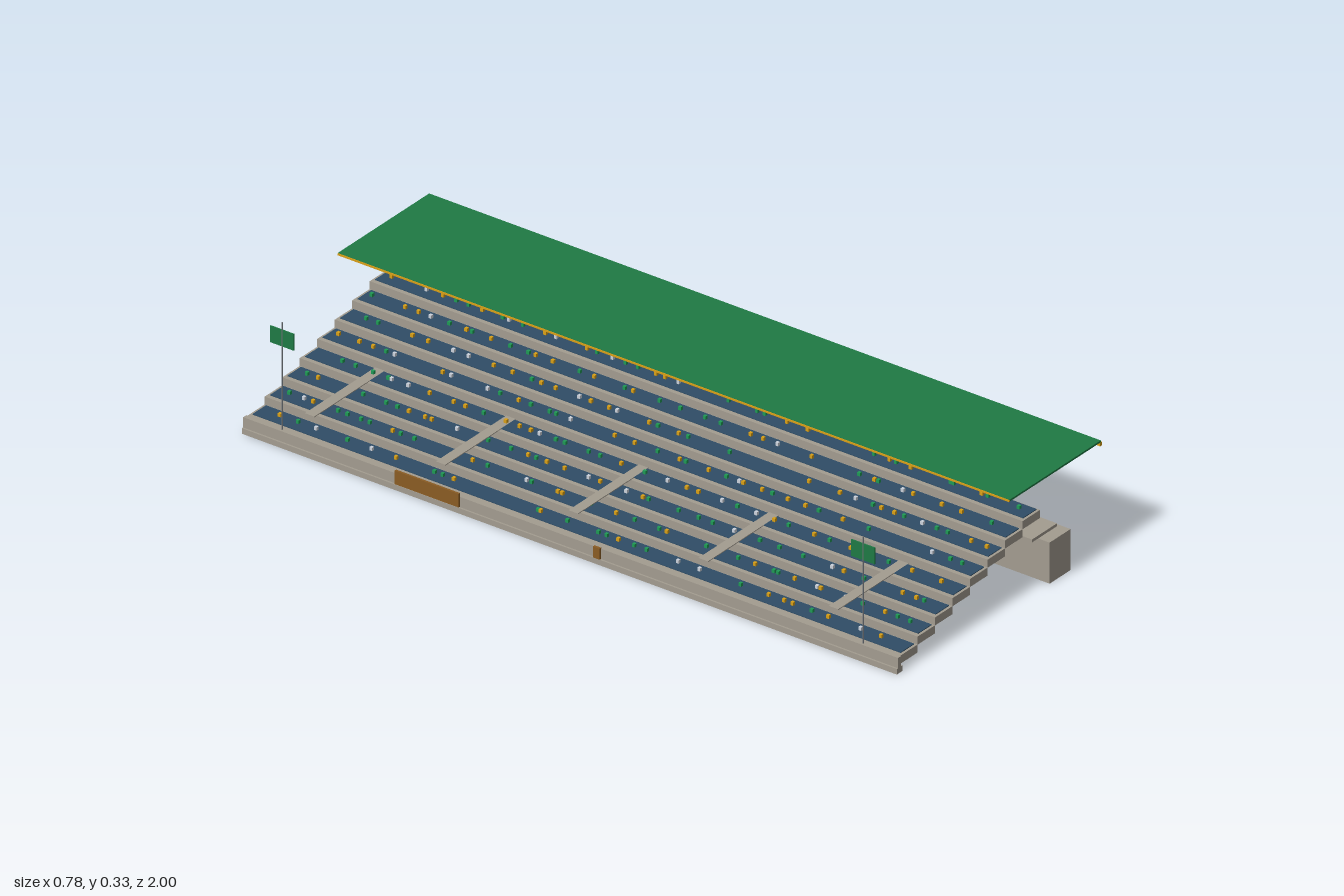
import * as THREE from 'three';
import { mergeGeometries } from 'three/addons/utils/BufferGeometryUtils.js';

const mat = (name, color) => {
  const m = new THREE.MeshStandardMaterial({ color });
  m.name = name;
  return m;
};

// Box geometry given by its limits on each axis
function span(x0, x1, y0, y1, z0, z1) {
  return new THREE.BoxGeometry(x1 - x0, y1 - y0, z1 - z0)
    .translate((x0 + x1) / 2, (y0 + y1) / 2, (z0 + z1) / 2);
}

// Small seeded generator for the crowd
function seeded(seed) {
  return () => (seed = (seed * 16807) % 2147483647) / 2147483647;
}

export function createModel() {
  const group = new THREE.Group();
  group.name = 'grandstand';

  const concrete = mat('concrete', 0xa39c90);
  const green = mat('roof green', 0x1f7a44);
  const yellow = mat('yellow', 0xd9a017);
  const blue = mat('seat blue', 0x2f4d66);
  const steel = mat('steel', 0x70757a);
  const brown = mat('brown board', 0x8a5c24);
  const pale = mat('pale panel', 0xccd2dc);
  const lilac = mat('booth grey', 0x959cac);
  const shirtGreen = mat('shirt green', 0x1f9a55);

  const add = (name, geometry, material) => {
    const mesh = new THREE.Mesh(geometry, material);
    mesh.name = name;
    group.add(mesh);
    return mesh;
  };

  // Stepped terrace with a seat strip on each tier
  const tiers = 8, pitch = 0.0693, rise = 0.0214;
  const tierX = i => -0.374 + i * pitch;
  const tierTop = i => 0.0425 + i * rise;
  for (let i = 0; i < tiers; i++) {
    const x = tierX(i), y = tierTop(i);
    add('tier', span(x, x + pitch, y - 0.022, y, -0.972, 0.972), concrete);
    add('seatStrip', span(x + 0.012, x + pitch - 0.004, y, y + 0.002, -0.965, 0.965), blue);
  }

  // Spectators scattered along the rows, merged by colour
  const random = seeded(77);
  const shirts = [yellow, shirtGreen, pale];
  const crowd = shirts.map(() => []);
  for (let i = 0; i < tiers; i++) {
    for (let k = 0; k < 44; k++) {
      const pick = random(), z = -0.95 + (k + random()) * (1.9 / 44);
      if (random() < 0.25) continue;
      const x = tierX(i) + 0.042, y = tierTop(i);
      const shirt = pick < 0.45 ? 0 : pick < 0.85 ? 1 : 2;
      crowd[shirt].push(span(x - 0.004, x + 0.004, y + 0.001, y + 0.011, z - 0.004, z + 0.004));
    }
  }
  crowd.forEach((parts, i) => add('spectators', mergeGeometries(parts), shirts[i]));

  // Kerb and low parapet along the bottom row
  add('kerb', span(-0.391, -0.368, 0, 0.015, -0.975, 0.975), concrete);
  add('parapet', span(-0.386, -0.374, 0.015, 0.043, -0.975, 0.975), concrete);
  add('banner', span(-0.391, -0.385, 0.016, 0.053, -0.52, -0.33), brown);
  add('gate', span(-0.391, -0.384, 0.01, 0.045, 0.07, 0.09), brown);

  // Level gangways crossing the lower tiers
  for (const z of [-0.785, -0.395, 0, 0.387, 0.775]) {
    add('gangway', span(-0.376, 0.184, 0.1065, 0.1088, z - 0.014, z + 0.014), concrete);
  }

  // Rear wall and concourse slab
  add('rearWall', span(0.181, 0.264, 0, 0.112, -1, 1), concrete);
  add('concourse', span(0.138, 0.237, 0.125, 0.133, -0.98, 0.98), concrete);

  // Commentary booth
  add('boothScreen', span(0.21, 0.216, 0.19, 0.241, -0.07, 0.07), pale);
  add('booth', span(0.212, 0.232, 0.186, 0.205, -0.042, 0.042), lilac);

  // Roof with coloured edges
  add('roof', span(0.023, 0.384, 0.295, 0.3, -1, 1), green);
  add('rearFascia', span(0.381, 0.389, 0.285, 0.2945, -1, 1), yellow);
  add('frontTrim', span(0.021, 0.0235, 0.294, 0.299, -1, 1), yellow);

  // Roof posts and rafters
  for (let k = 0; k < 12; k++) {
    const z = -0.89 + k * (1.78 / 11);
    add('post', span(0.162, 0.168, 0.19, 0.296, z - 0.003, z + 0.003), steel);
    const rafter = add('rafter', new THREE.BoxGeometry(0.21, 0.004, 0.006), steel);
    rafter.position.set(0.268, 0.2935, z);
    rafter.rotation.z = -0.01;
  }

  // Flag masts at both ends of the bottom row
  for (const z of [-0.865, 0.865]) {
    add('mast', new THREE.CylinderGeometry(0.002, 0.002, 0.295, 8).translate(-0.378, 0.1875, z), steel);
    add('flag', span(-0.379, -0.376, 0.27, 0.315, z - 0.035, z + 0.035), green);
    const emblem = new THREE.BoxGeometry(0.001, 0.024, 0.024).rotateX(Math.PI / 4);
    add('flagDiamond', emblem.translate(-0.3755, 0.2925, z), yellow);
  }

  return group;
}
